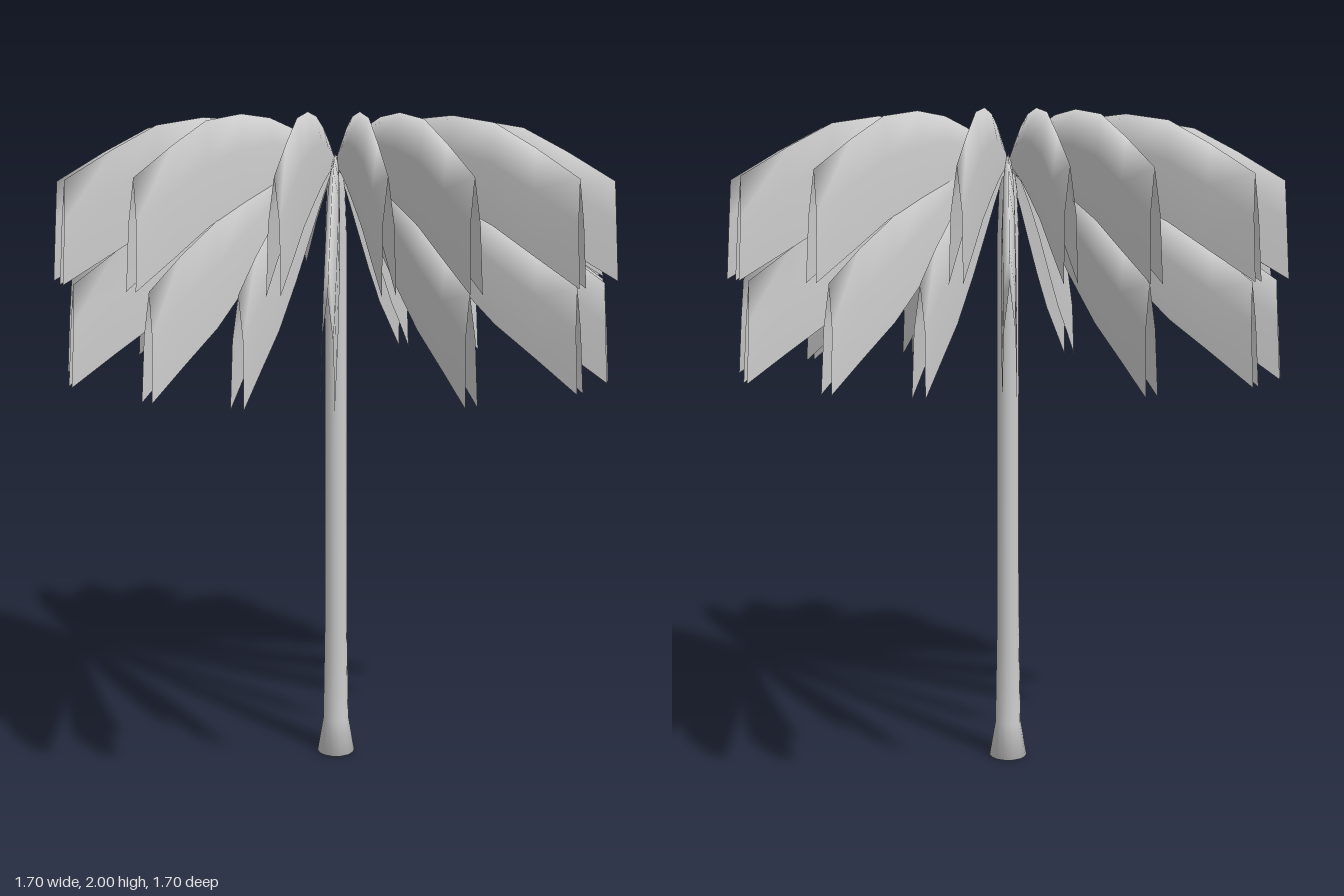
import * as THREE from 'three';

// Ridge outline as [radius, height]; drop = how far the folded sides hang below it
const UPPER_RIDGE = [[0, 1.88], [0.1, 1.93], [0.2, 1.97], [0.3, 1.995], [0.42, 2.0], [0.56, 1.975], [0.69, 1.905], [0.83, 1.82]];
const LOWER_RIDGE = [[0, 1.88], [0.1, 1.9], [0.2, 1.88], [0.3, 1.845], [0.42, 1.785], [0.56, 1.7], [0.69, 1.62], [0.815, 1.53]];
const DROP = [0.02, 0.07, 0.13, 0.185, 0.24, 0.28, 0.29, 0.29];
const HALF_WIDTH = [0.004, 0.012, 0.017, 0.02, 0.021, 0.021, 0.02, 0.018];

// Across the fold: [side, share of half width, share of drop]
const SECTION = [[-1, 1, 1], [-1, 0.8, 0.4], [0, 0, 0], [1, 0.8, 0.4], [1, 1, 1]];

// A narrow leaf folded along its ridge, running towards -z
function frondGeometry(ridge) {
  const positions = [];
  const indices = [];
  const n = SECTION.length;
  ridge.forEach(([r, y], i) => {
    for (const [side, w, d] of SECTION) {
      const lean = 0.018 * d * (r / 0.83);
      positions.push(side * w * HALF_WIDTH[i], y - d * DROP[i], -r - lean);
    }
    if (i === 0) return;
    for (let j = 0; j < n - 1; j++) {
      const a = (i - 1) * n + j;
      const b = i * n + j;
      indices.push(a, a + 1, b, a + 1, b + 1, b);
    }
  });
  const geometry = new THREE.BufferGeometry();
  geometry.setAttribute('position', new THREE.Float32BufferAttribute(positions, 3));
  geometry.setIndex(indices);
  geometry.computeVertexNormals();
  return geometry;
}

export function createModel() {
  const model = new THREE.Group();
  model.name = 'palmTree';
  const bark = new THREE.MeshStandardMaterial({ color: 0xcccccc });
  const leaf = new THREE.MeshStandardMaterial({ color: 0xcccccc, side: THREE.DoubleSide });

  // Trunk with a flared foot and a tapered top
  const profile = [[0, 0], [0.06, 0], [0.041, 0.11], [0.036, 0.4], [0.034, 1.2],
    [0.034, 1.65], [0.028, 1.8], [0.016, 1.88], [0, 1.9]];
  const trunk = new THREE.Mesh(
    new THREE.LatheGeometry(profile.map(([x, y]) => new THREE.Vector2(x, y)), 14), bark);
  trunk.name = 'trunk';
  model.add(trunk);

  // Each angle gives a cross of four fronds
  const addCrown = (name, ridge, angles) => {
    const crown = new THREE.Group();
    crown.name = name;
    const geometry = frondGeometry(ridge);
    for (const angle of angles) {
      for (let quarter = 0; quarter < 4; quarter++) {
        const frond = new THREE.Mesh(geometry, leaf);
        frond.name = 'frond';
        frond.rotation.y = -THREE.MathUtils.degToRad(angle + quarter * 90);
        crown.add(frond);
      }
    }
    model.add(crown);
  };
  addCrown('upperFronds', UPPER_RIDGE, [0, 28.2, 55, 70.7]);
  addCrown('lowerFronds', LOWER_RIDGE, [7, 26, 55, 81]);

  return model;
}
